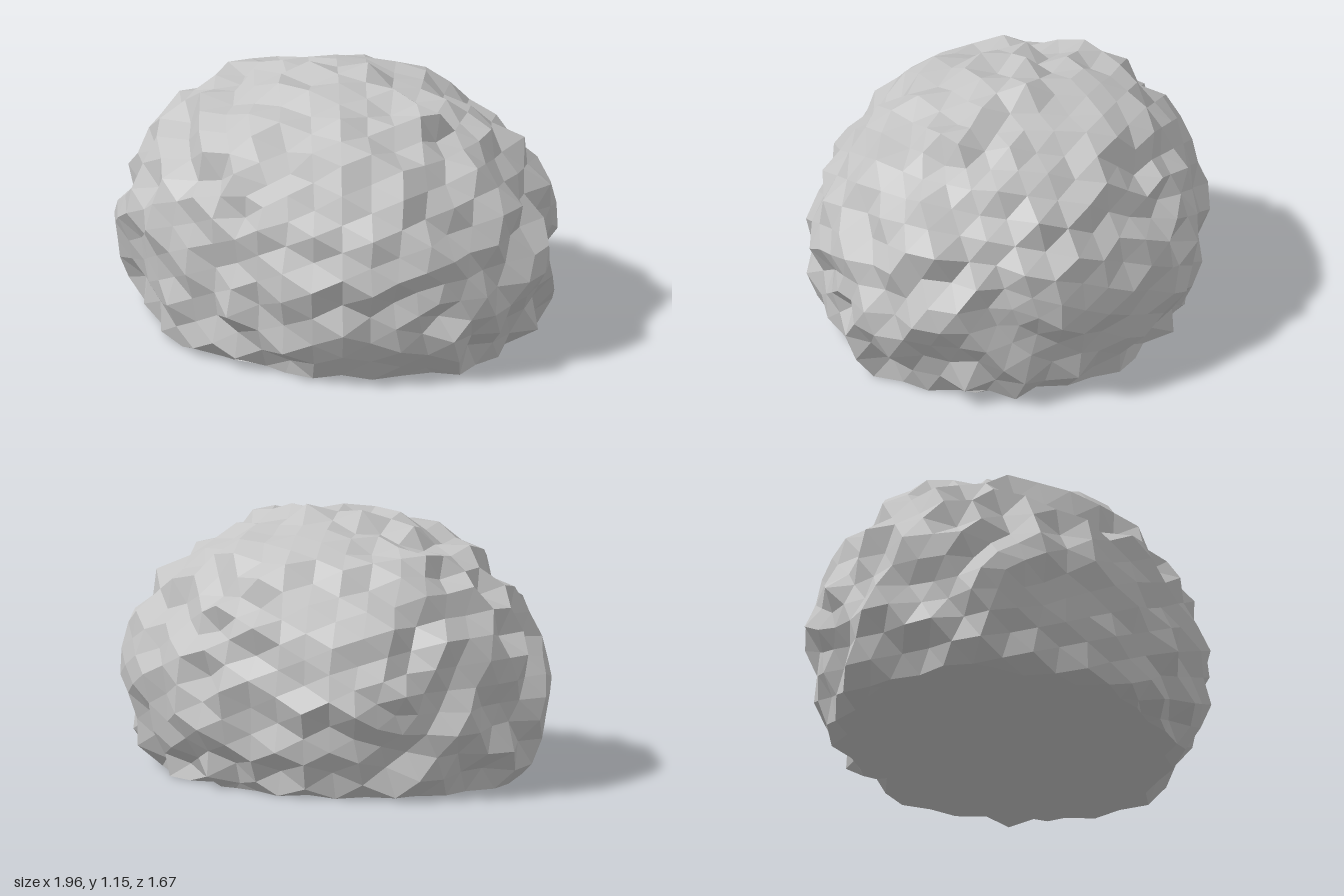
import * as THREE from 'three';

// Repeatable 0..1 noise, equal for all corners that share a position
function noise(v) {
  const q = (n) => Math.round(n * 1000);
  const s = Math.sin(q(v.x) * 12.9898 + q(v.y) * 78.233 + q(v.z) * 37.719) * 43758.5453;
  return s - Math.floor(s);
}

export function createModel() {
  const group = new THREE.Group();
  group.name = 'boulder';
  const stone = new THREE.MeshStandardMaterial({ color: 0xc4c4c4, flatShading: true });
  stone.name = 'pale stone grey';

  // Faceted sphere, pushed into a rough, very slightly boxy dome
  const geometry = new THREE.IcosahedronGeometry(1, 7);
  const position = geometry.attributes.position;
  const v = new THREE.Vector3();
  const power = 2.08;
  for (let i = 0; i < position.count; i++) {
    v.fromBufferAttribute(position, i);
    const boxy = (Math.abs(v.x) ** power + Math.abs(v.y) ** power + Math.abs(v.z) ** power) ** (-1 / power);
    const rough = v.y < -0.75 ? 0.95 : 0.89 + 0.115 * noise(v);
    v.multiplyScalar(boxy * rough);
    // Flat underside: everything below the ground is pressed onto it
    position.setXYZ(i, v.x, Math.max(0, 0.38 + v.y * 0.775), v.z * 0.84);
  }
  geometry.computeVertexNormals();

  const rock = new THREE.Mesh(geometry, stone);
  rock.name = 'rock';
  group.add(rock);
  return group;
}
